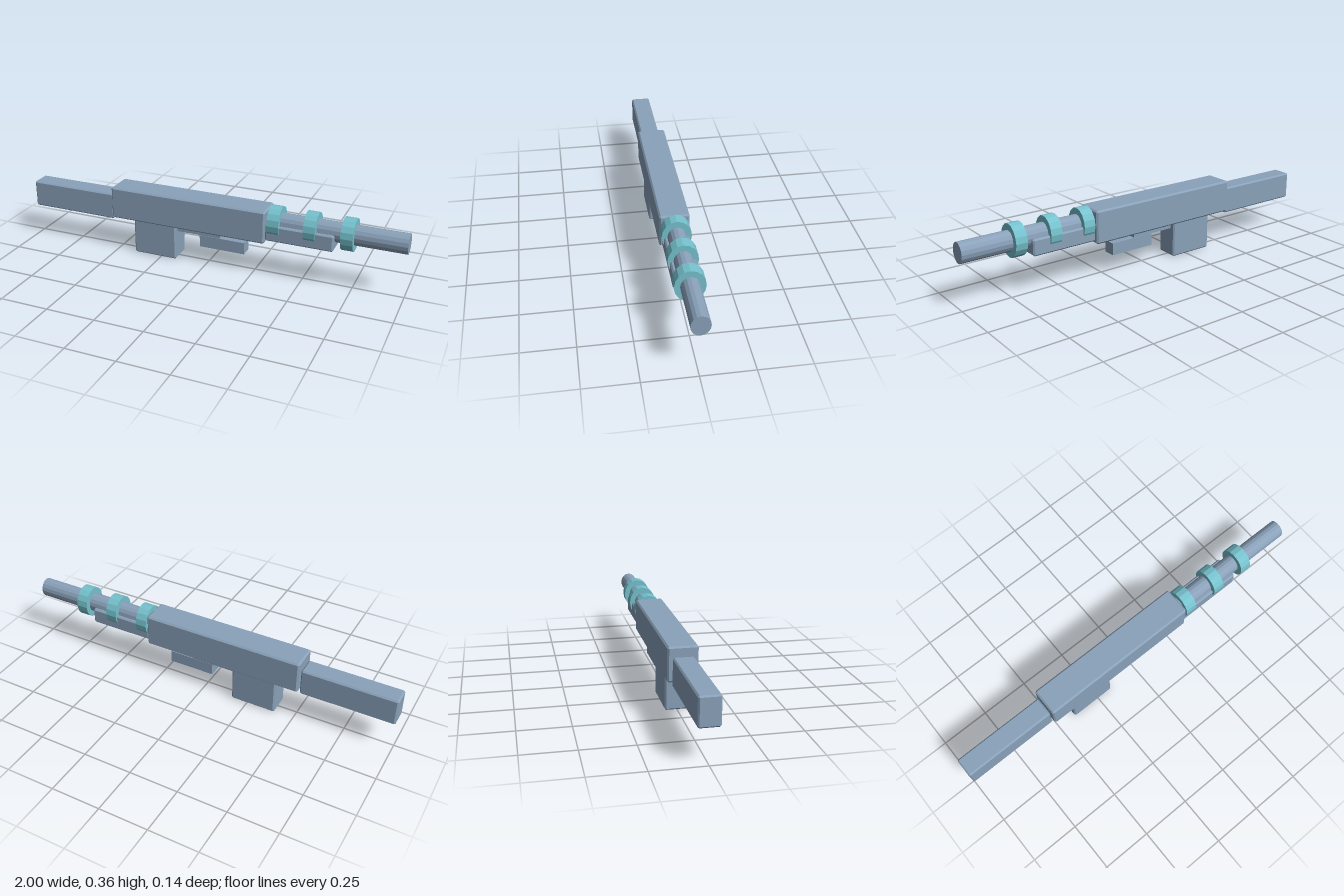
import * as THREE from 'three';
import { ConvexGeometry } from 'three/addons/geometries/ConvexGeometry.js';

const shell = new THREE.MeshStandardMaterial({ color: 0x8aa2ba });
shell.name = 'blueGreyShell';
const glow = new THREE.MeshStandardMaterial({ color: 0x76c2ce });
glow.name = 'tealRing';

// Box with flat chamfered edges: three points around every corner
function chamferBox(w, h, d, c) {
  const points = [];
  for (const sx of [-1, 1]) for (const sy of [-1, 1]) for (const sz of [-1, 1]) {
    for (let axis = 0; axis < 3; axis++) {
      const inset = [c, c, c];
      inset[axis] = 0;
      points.push(new THREE.Vector3(
        sx * (w / 2 - inset[0]), sy * (h / 2 - inset[1]), sz * (d / 2 - inset[2])));
    }
  }
  return new ConvexGeometry(points);
}

export function createModel() {
  const group = new THREE.Group();

  const add = (name, geometry, material, x, y) => {
    const mesh = new THREE.Mesh(geometry, material);
    mesh.name = name;
    mesh.position.set(x, y, 0);
    group.add(mesh);
  };

  // Block spanning x0..x1 and y0..y1, centred on z; chamfer is optional
  const block = (name, x0, x1, y0, y1, depth, chamfer = 0) => {
    const w = x1 - x0, h = y1 - y0;
    const geometry = chamfer ? chamferBox(w, h, depth, chamfer) : new THREE.BoxGeometry(w, h, depth);
    add(name, geometry, shell, (x0 + x1) / 2, (y0 + y1) / 2);
  };

  // Slightly flattened cylinder lying along x
  const tube = (name, x0, x1, radius, material) => {
    const geometry = new THREE.CylinderGeometry(radius, radius, x1 - x0, 16)
      .rotateZ(-Math.PI / 2).scale(1, 1, 0.866).toNonIndexed();
    geometry.computeVertexNormals();
    add(name, geometry, material, (x0 + x1) / 2, 0.282);
  };

  // Main blocks
  block('stock', -1, -0.523, 0.164, 0.303, 0.1, 0.007);
  block('body', -0.52, 0.316, 0.182, 0.35, 0.144, 0.008);
  block('grip', -0.4, -0.165, 0, 0.19, 0.116, 0.007);
  block('foregrip', 0.316, 0.656, 0.198, 0.281, 0.12, 0.007);

  // Stepped trigger parts under the body
  block('triggerMount', -0.17, 0.07, 0.151, 0.213, 0.066);
  block('triggerGuard', -0.04, 0.2, 0.088, 0.15, 0.066);

  // Barrel and its three rings
  tube('barrel', 0.3, 1, 0.051, shell);
  [0.355, 0.537, 0.719].forEach((x, i) =>
    tube(`barrelRing${i + 1}`, x - 0.03, x + 0.03, 0.0825, glow));

  return group;
}
